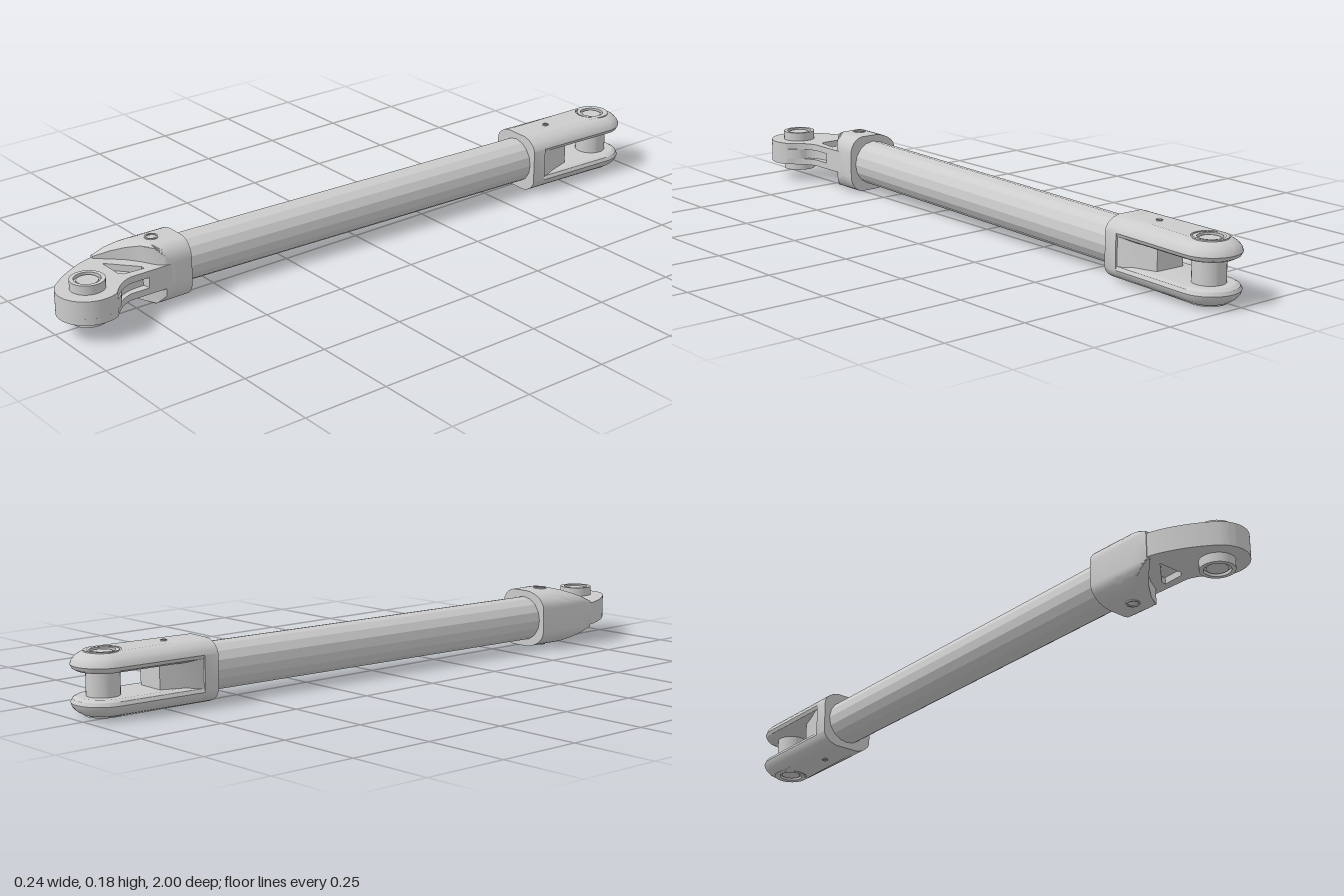
import * as THREE from 'three';
import { toCreasedNormals } from 'three/addons/utils/BufferGeometryUtils.js';

const grey = new THREE.MeshStandardMaterial({ color: 0xcccccc, side: THREE.DoubleSide });
const MID = 0.086; // height of the strut axis

function part(parent, name, geometry, crease = 0.5) {
  const mesh = new THREE.Mesh(toCreasedNormals(geometry, crease), grey);
  mesh.name = name;
  parent.add(mesh);
  return mesh;
}

// Skin a list of equal-length rings and close both ends
function loft(rings) {
  const n = rings[0].length, idx = [];
  rings.slice(1).forEach((_, r) => {
    for (let i = 0; i < n; i++) {
      const a = r * n + i, b = r * n + (i + 1) % n;
      idx.push(a, b, b + n, a, b + n, a + n);
    }
  });
  const last = (rings.length - 1) * n;
  for (let i = 1; i < n - 1; i++) idx.push(0, i + 1, i, last, last + i, last + i + 1);
  const g = new THREE.BufferGeometry();
  g.setAttribute('position', new THREE.Float32BufferAttribute(rings.flat(2), 3));
  g.setIndex(idx);
  return g;
}

// Plate from a plan outline (x, z) between two heights
function plate(shape, y0, y1) {
  const g = new THREE.ExtrudeGeometry(shape, { depth: y1 - y0, bevelEnabled: false, curveSegments: 20 });
  return g.rotateX(Math.PI / 2).translate(0, y1, 0);
}

// Pin with a ring groove in each end
function pin(r, h) {
  const half = [[r, h], [r * 0.76, h], [r * 0.76, h - 0.009], [r * 0.62, h - 0.009], [r * 0.62, h - 0.004], [0, h - 0.004]];
  const pts = [...half.map(([x, y]) => [x, -y]).reverse(), ...half];
  return new THREE.LatheGeometry(pts.map(p => new THREE.Vector2(...p)), 32);
}

// Small socket screw seen on top and bottom faces
function screws(parent, name, r, x, z) {
  for (const s of [1, -1]) {
    const m = part(parent, name, pin(r, 0.006));
    m.position.set(x, s * 0.083, z);
  }
}

function rearFork() {
  const fork = new THREE.Group();
  fork.name = 'rearFork';
  const R = 0.085, L = 0.305;
  const profile = [[0.034, 0.016], [0.04, 0.005], [0.05, 0], [0.061, 0.004], [0.071, 0.013], [0.08, 0.027], [0.086, 0.045]];
  const angles = [];
  for (let i = 0; i <= 24; i++) angles.push([Math.PI * i / 24, false]);
  for (let i = 0; i <= 10; i++) angles.push([Math.PI * (1 + i / 10), true]);

  // Two rounded arms, each with a counterbore for the pin
  const bore = (y, r) => angles.map(([a]) => [r * Math.cos(a), y, -r * Math.sin(a)]);
  const rings = profile.map(([y, inset]) => angles.map(([a, end]) => {
    const r = R - inset;
    return [r * Math.cos(a), y, end ? L : -r * Math.sin(a)];
  }));
  rings.push(bore(0.086, 0.05), bore(0.078, 0.05));
  for (const s of [1, -1]) part(fork, 'forkArm', loft(rings)).scale.y = s;

  // Solid collar joining the arms
  const side = profile.slice(2).map(([y, inset]) => [R - inset, y]);
  const top = [...side, ...side.map(([x, y]) => [-x, y]).reverse()];
  const outline = [...top, ...top.map(([x, y]) => [-x, -y])];
  part(fork, 'forkCollar', loft([0.262, L].map(z => outline.map(([x, y]) => [x, y, z]))));

  // Tapered web at the root of the slot
  const web = new THREE.Shape([[-0.08, 0.27], [-0.078, 0.24], [-0.045, 0.145], [0.045, 0.145], [0.078, 0.24], [0.08, 0.27]]
    .map(p => new THREE.Vector2(...p)));
  part(fork, 'forkWeb', plate(web, -0.04, 0.04));

  part(fork, 'rearPin', pin(0.045, 0.085));
  screws(fork, 'forkScrew', 0.009, 0, 0.19);
  return fork;
}

// Plan outline of the bent front arm; neck sets how far its inner side is cut away
function armShape(endAngle, neck) {
  const s = new THREE.Shape();
  s.moveTo(-0.118, 0.62);
  s.lineTo(-0.123, 0.8);
  s.bezierCurveTo(-0.115, 0.86, -0.07, 0.935, -0.026, 0.979);
  s.absarc(0.03, 0.912, 0.087, THREE.MathUtils.degToRad(130), endAngle, true);
  for (const [cx, cz, x, z] of neck) s.quadraticCurveTo(cx, cz, x, z);
  s.lineTo(0.048, 0.62);
  return s;
}

function frontKnuckle() {
  const knuckle = new THREE.Group();
  knuckle.name = 'frontKnuckle';

  // Rounded socket whose far side is cut away along a sweeping curve: z, right edge, half height
  const stations = [[0.6, 0.05, 0.086], [0.65, 0.05, 0.086], [0.68, 0.045, 0.086], [0.7, 0.025, 0.086],
    [0.72, -0.015, 0.08], [0.745, -0.05, 0.07], [0.775, -0.08, 0.058], [0.81, -0.112, 0.04]];
  const n = 18;
  const rings = stations.map(([z, xr, h]) => {
    const xl = -0.118 - (z - 0.6) * 0.025, top = [];
    for (let i = 0; i <= n; i++) {
      const x = xl + (xr - xl) * (1 - Math.cos(Math.PI * i / n)) / 2;
      const l = Math.max(0, (xl + 0.078 - x) / 0.078), r = Math.max(0, (x - 0.005) / 0.045);
      const d = Math.min(1, Math.max(l, r));
      top.push([x, Math.min(h, 0.034 + 0.052 * Math.sqrt(1 - d * d)), z]);
    }
    return [...top.map(([x, y]) => [x, -y, z]), ...top.reverse()];
  });
  part(knuckle, 'socket', loft(rings));

  // Bent arm: outer plates with a triangular pocket, and a recessed core between them
  const outer = armShape(-Math.PI / 6, [[0.055, 0.83, 0.048, 0.79]]);
  outer.holes.push(new THREE.Path([[-0.07, 0.806], [0.01, 0.806], [0.02, 0.796], [0.025, 0.735], [0.012, 0.735]]
    .map(p => new THREE.Vector2(...p))));
  part(knuckle, 'armPlate', plate(outer, 0.015, 0.034));
  part(knuckle, 'armPlate', plate(outer, -0.034, -0.015));
  const core = armShape(-Math.PI / 3, [[0.025, 0.83, 0.025, 0.74], [0.035, 0.735, 0.048, 0.735]]);
  part(knuckle, 'armCore', plate(core, -0.015, 0.015));

  part(knuckle, 'frontPin', pin(0.048, 0.06)).position.set(0.03, 0, 0.912);
  screws(knuckle, 'socketScrew', 0.019, -0.035, 0.672);
  return knuckle;
}

export function createModel() {
  const model = new THREE.Group();
  model.name = 'linkStrut';

  // Straight strut, slightly angled from the rear pin
  const strut = new THREE.Group();
  strut.name = 'strut';
  strut.position.set(0.03, MID, -0.915);
  strut.rotation.y = -0.0425;
  const tube = new THREE.CylinderGeometry(0.067, 0.067, 1.27, 16).rotateX(Math.PI / 2).translate(0, 0, 0.915);
  part(strut, 'tube', tube, 0.1);
  strut.add(rearFork());
  model.add(strut);

  const knuckle = frontKnuckle();
  knuckle.position.y = MID;
  model.add(knuckle);
  return model;
}
